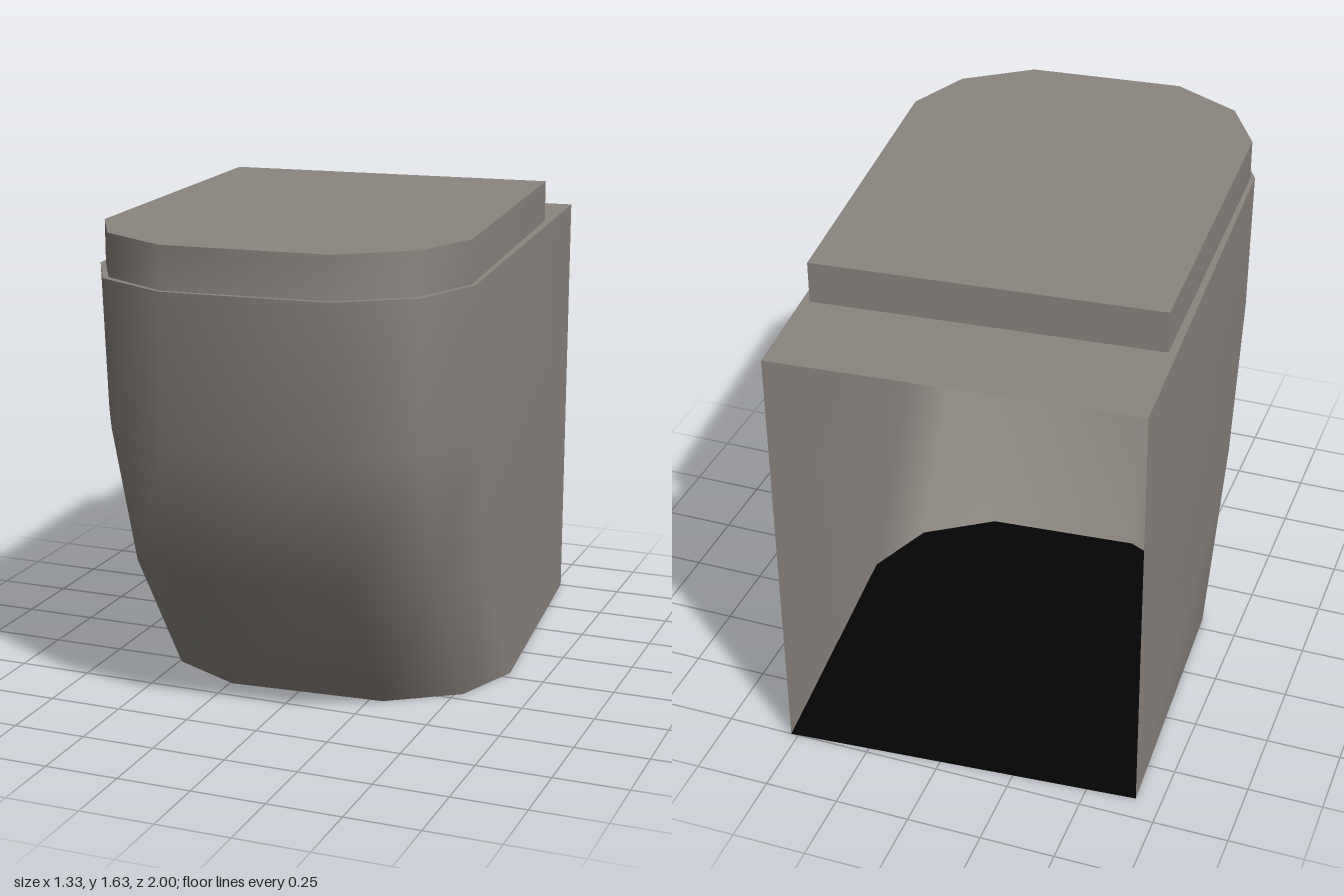
import * as THREE from 'three';

const ceramic = new THREE.MeshStandardMaterial({ color: 0x8c8680, side: THREE.DoubleSide });
ceramic.name = 'grey ceramic';
const black = new THREE.MeshStandardMaterial({ color: 0x040404, side: THREE.DoubleSide });
black.name = 'black underside';

const RIM = 1.49, TOP = 1.63;

// Half outlines as [x, z], from the back corner round to the front
const bodyHalf = [[0.597, -0.96], [0.62, 0.6], [0.511, 0.837], [0.27, 0.978]];
const lidHalf = [[0.576, -0.594], [0.605, 0.592], [0.5, 0.816], [0.27, 0.962]];

// Full outline from the back left corner, round the front, to the back right corner
const mirror = (half) => [...half, ...half.map(([x, z]) => [-x, z]).reverse()];

// Pull everything but the back corners backwards
const pullBack = (half, d) => half.map(([x, z], i) => [x, i ? z - d : z]);

// Smooth wall through rings of { y, points }, left open at the back
function wall(rings) {
  const n = rings[0].points.length, pos = [], index = [];
  for (const { y, points } of rings) for (const [x, z] of points) pos.push(x, y, z);
  for (let r = 0; r < rings.length - 1; r++) {
    for (let i = 0; i < n - 1; i++) {
      const a = r * n + i, b = a + 1, c = a + n, d = c + 1;
      index.push(a, c, b, b, c, d);
    }
  }
  const g = new THREE.BufferGeometry();
  g.setAttribute('position', new THREE.Float32BufferAttribute(pos, 3));
  g.setIndex(index);
  g.computeVertexNormals();
  return g;
}

// Flat horizontal panel, optionally with a hole
function panel(points, y, hole) {
  const to2 = (p) => p.map(([x, z]) => new THREE.Vector2(x, -z));
  const shape = new THREE.Shape(to2(points));
  if (hole) shape.holes.push(new THREE.Path(to2(hole)));
  return new THREE.ShapeGeometry(shape).rotateX(-Math.PI / 2).translate(0, y, 0);
}

export function createModel() {
  const group = new THREE.Group();
  const add = (name, geometry, material = ceramic) => {
    const mesh = new THREE.Mesh(geometry, material);
    mesh.name = name;
    group.add(mesh);
  };

  // Bowl body: the front sweeps back towards the floor, the back is open
  const rings = [[0, 0.595], [0.5, 0.22], [1, 0.036], [RIM, 0]]
    .map(([y, d]) => ({ y, points: mirror(pullBack(bodyHalf, d)) }));
  add('bowlBody', wall(rings));
  add('bowlUnderside', panel(rings[0].points, 0), black);

  // Rim with an opening beneath the hollow lid
  const lid = mirror(lidHalf);
  add('rim', panel(rings[3].points, RIM, lid));

  // Lid
  add('lidSide', wall([{ y: RIM, points: lid }, { y: TOP, points: lid }]));
  const back = [lid[lid.length - 1], lid[0]];
  add('lidBack', wall([{ y: RIM, points: back }, { y: TOP, points: back }]));
  add('lidTop', panel(lid, TOP));

  // The whole piece stands slightly turned
  group.rotation.y = THREE.MathUtils.degToRad(4.2);
  return group;
}
